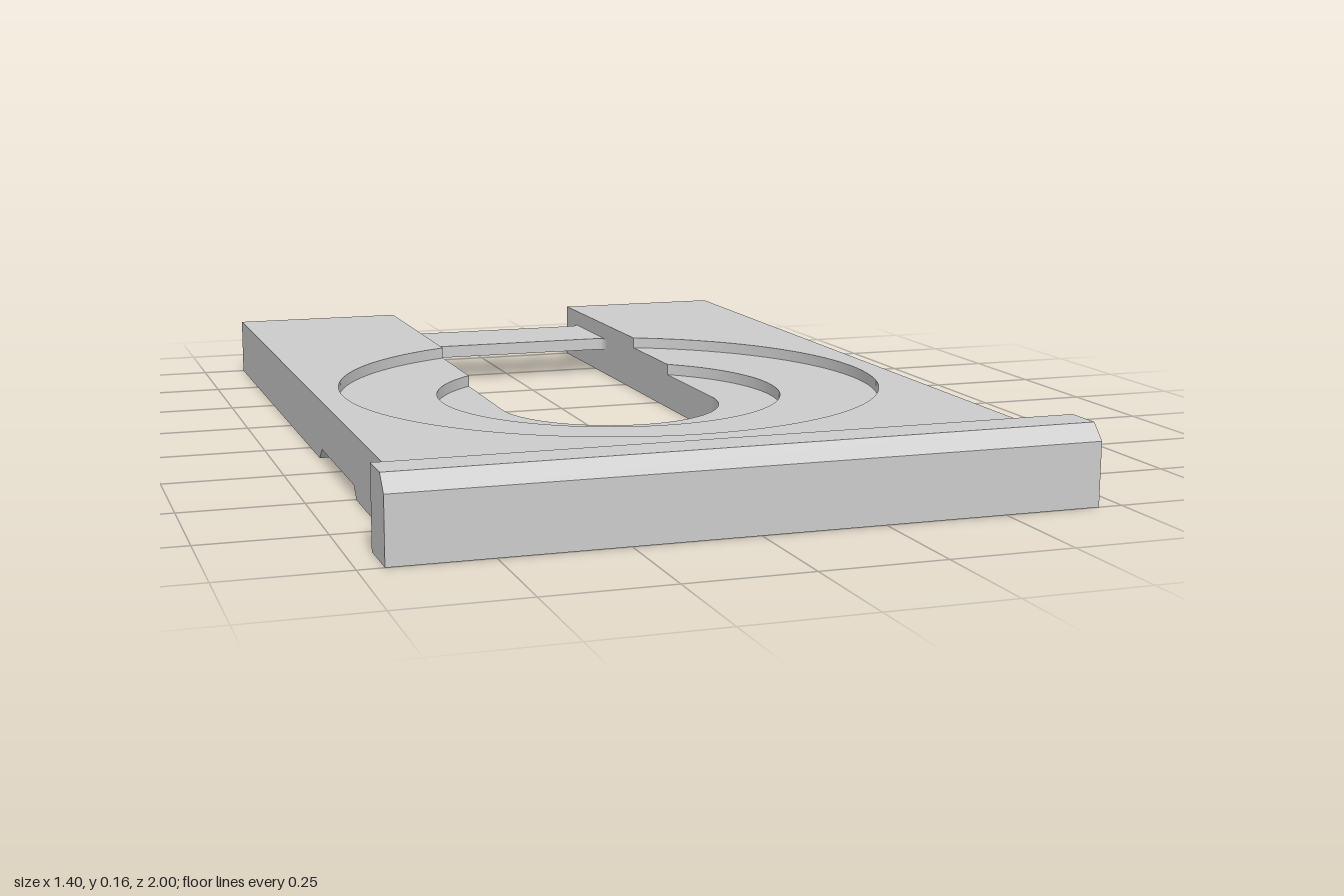
import * as THREE from 'three';
import { toCreasedNormals } from 'three/addons/utils/BufferGeometryUtils.js';

const material = new THREE.MeshStandardMaterial({ color: 0xcccccc });
const HALF = 0.65;    // half width of the plate
const SLOT = 0.245;   // half width of the slot
const CENTRE = 0.105; // z of the round slot end and the recess rings
const FRONT = 0.89;   // front end of the plate

function addPart(group, name, geometry) {
  const mesh = new THREE.Mesh(toCreasedNormals(geometry, 0.5), material);
  mesh.name = name;
  group.add(mesh);
}

// Extrudes an (x, z) outline between two heights
function slab(shape, bottom, top) {
  const g = new THREE.ExtrudeGeometry(shape, { depth: top - bottom, bevelEnabled: false, curveSegments: 64 });
  return g.rotateX(Math.PI / 2).translate(0, top, 0);
}

// Extrudes a (z, y) profile across x
function across(points, width, x = 0) {
  const shape = new THREE.Shape(points.map(([z, y]) => new THREE.Vector2(z, y)));
  const g = new THREE.ExtrudeGeometry(shape, { depth: width, bevelEnabled: false });
  return g.rotateY(-Math.PI / 2).translate(x + width / 2, 0, 0);
}

// Plate outline, open at the back, with a round opening of the given radius
function plateOutline(radius) {
  const s = Math.sqrt(Math.max(0, radius * radius - SLOT * SLOT));
  const a = Math.atan2(s, SLOT);
  const shape = new THREE.Shape();
  shape.moveTo(-HALF, -1);
  shape.lineTo(-SLOT, -1);
  shape.lineTo(-SLOT, CENTRE - s);
  shape.absarc(0, CENTRE, radius, Math.PI + a, -a, true);
  shape.lineTo(SLOT, -1);
  shape.lineTo(HALF, -1);
  shape.lineTo(HALF, FRONT);
  shape.lineTo(-HALF, FRONT);
  shape.closePath();
  return shape;
}

export function createModel() {
  const group = new THREE.Group();
  group.name = 'slottedPlate';

  // Plate in layers: slot, inner recess, outer recess
  addPart(group, 'plateCore', slab(plateOutline(SLOT), 0.025, 0.08));
  addPart(group, 'innerRecessLayer', slab(plateOutline(0.38), 0.08, 0.105));
  addPart(group, 'outerRecessLayer', slab(plateOutline(0.595), 0.105, 0.13));

  // Underside pads on either side of the chamfered cross groove
  addPart(group, 'frontPad', across([[0.505, 0], [FRONT, 0], [FRONT, 0.025], [0.48, 0.025]], HALF * 2));
  for (const side of [-1, 1]) {
    addPart(group, side > 0 ? 'leftRearPad' : 'rightRearPad',
      across([[-1, 0], [0.11, 0], [0.14, 0.025], [-1, 0.025]], HALF - SLOT, side * (HALF + SLOT) / 2));
  }

  // Front bar with a chamfered top edge
  addPart(group, 'frontBar',
    across([[FRONT, 0], [1, 0], [1, 0.13], [0.97, 0.162], [FRONT, 0.162]], 1.4));

  // Thin bridge joining the two arms, with filleted corners
  const r = 0.025, z0 = -0.897, z1 = -0.677;
  const bridge = new THREE.Shape();
  bridge.moveTo(-SLOT, z0 - r);
  bridge.quadraticCurveTo(-SLOT, z0, -SLOT + r, z0);
  bridge.lineTo(SLOT - r, z0);
  bridge.quadraticCurveTo(SLOT, z0, SLOT, z0 - r);
  bridge.lineTo(SLOT, z1 + r);
  bridge.quadraticCurveTo(SLOT, z1, SLOT - r, z1);
  bridge.lineTo(-SLOT + r, z1);
  bridge.quadraticCurveTo(-SLOT, z1, -SLOT, z1 + r);
  bridge.closePath();
  addPart(group, 'bridge', slab(bridge, 0.063, 0.092));

  return group;
}
